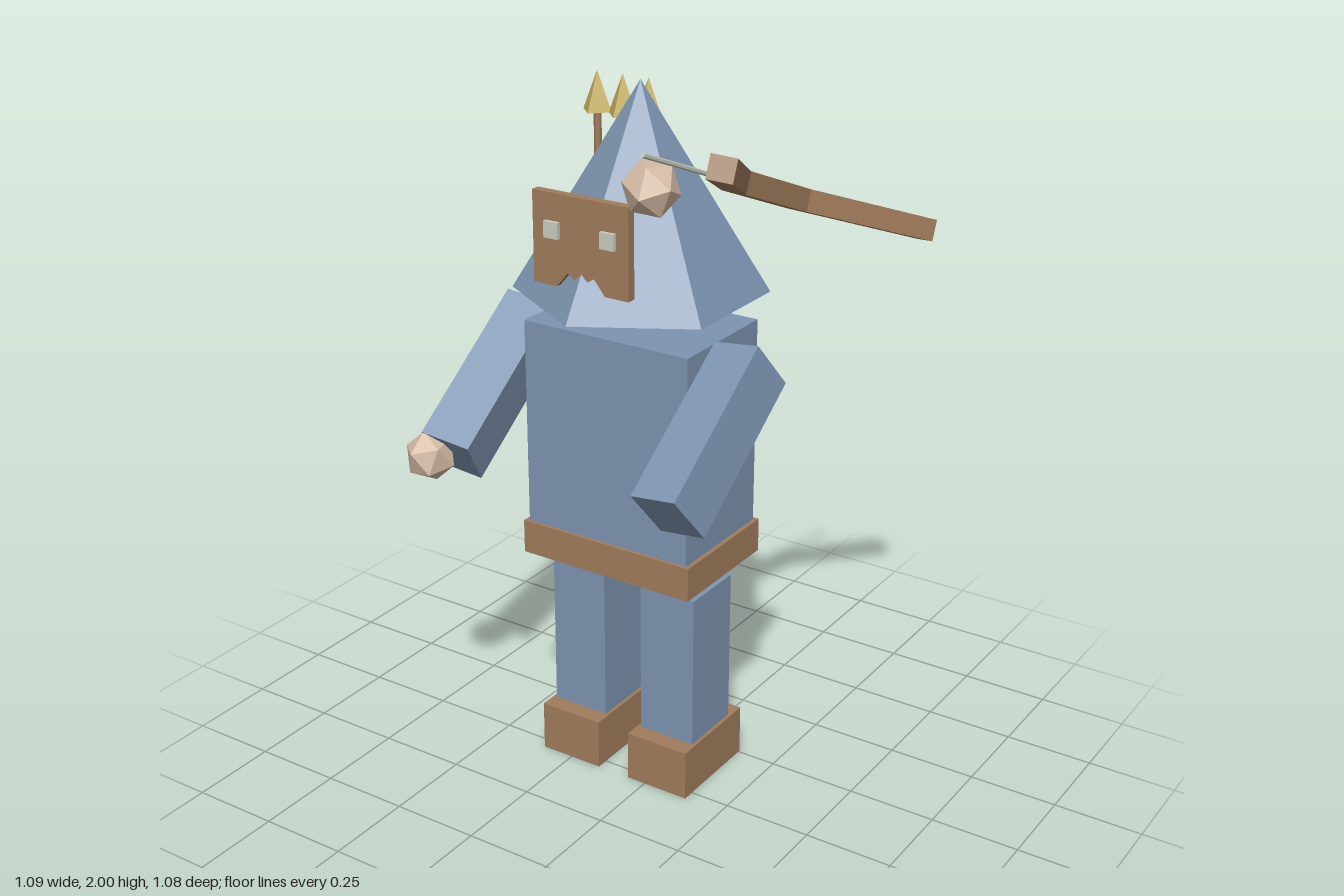
import * as THREE from 'three';

const mat = (name, color) => Object.assign(new THREE.MeshStandardMaterial({ color }), { name });

export function createModel() {
  const cloth = mat('blue cloth', 0x7d94b0);
  const leather = mat('brown leather', 0xa07c5c);
  const skin = mat('skin', 0xd6bca6);
  const gold = mat('gold', 0xc4ae5c);
  const pale = mat('pale grey', 0xc8ccc0);

  const model = new THREE.Group();
  model.name = 'hoodedArcher';
  const cx = -0.105, cz = -0.11; // body axis

  // Adds a faceted mesh
  const add = (name, geometry, material, x, y, z, parent = model) => {
    const g = geometry.index ? geometry.toNonIndexed() : geometry;
    g.computeVertexNormals();
    const mesh = new THREE.Mesh(g, material);
    mesh.name = name;
    mesh.position.set(x, y, z);
    parent.add(mesh);
    return mesh;
  };
  const box = (w, h, d) => new THREE.BoxGeometry(w, h, d);

  // Torso, belt and hood
  add('torso', box(0.505, 0.62, 0.34), cloth, cx, 1.005, cz);
  add('belt', box(0.53, 0.095, 0.36), leather, cx, 0.6875, cz);
  add('hood', new THREE.ConeGeometry(0.335, 0.55, 6), cloth, cx, 1.675, cz);

  // Legs, boots, arms and eyes on both sides
  for (const [side, s] of [['left', 1], ['right', -1]]) {
    add(side + 'Leg', box(0.17, 0.445, 0.19), cloth, cx + s * 0.145, 0.3675, cz);
    add(side + 'Boot', box(0.19, 0.145, 0.29), leather, cx + s * 0.145, 0.0725, cz);
    const arm = add(side + 'Arm', box(0.14, 0.475, 0.155), cloth, cx + s * 0.336, 1.13, 0.087);
    arm.rotation.set(-0.94, -0.2 * s, 0);
    add(side + 'Eye', box(0.043, 0.043, 0.012), pale, cx + s * 0.084, 1.617, 0.16);
  }

  // Hands
  const leftHand = add('leftHand', new THREE.IcosahedronGeometry(0.07), skin, 0.267, 1.858, 0.405);
  leftHand.rotation.set(-0.4, 0.2, 0);
  const rightHand = add('rightHand', new THREE.IcosahedronGeometry(0.07), skin, -0.48, 0.995, 0.318);
  rightHand.rotation.set(-0.9, -0.2, 0);

  // Face mask with a notched lower edge
  const mask = new THREE.Shape([
    [-0.143, 0.12], [-0.143, -0.12], [-0.073, -0.12], [-0.04, -0.08], [0, -0.105],
    [0.04, -0.08], [0.073, -0.12], [0.143, -0.12], [0.143, 0.12],
  ].map(p => new THREE.Vector2(...p)));
  add('faceMask', new THREE.ExtrudeGeometry(mask, { depth: 0.025, bevelEnabled: false }), leather, cx - 0.002, 1.59, 0.13);

  // Quiver leaning against the back
  const quiver = add('quiver', new THREE.CylinderGeometry(0.103, 0.103, 0.537, 6).rotateY(0.25), leather, -0.382, 1.225, -0.38);
  quiver.quaternion.setFromUnitVectors(new THREE.Vector3(0, 1, 0), new THREE.Vector3(0.027, 0.52, 0.128).normalize());

  // Arrows
  for (let i = 0; i < 3; i++) {
    const x = -0.466 + i * 0.084;
    add('arrowShaft', new THREE.CylinderGeometry(0.011, 0.011, 0.34, 6), leather, x, 1.585, -0.438);
    add('arrowHead', new THREE.ConeGeometry(0.047, 0.112, 4), gold, x, 1.807, -0.438);
  }

  // Tilted bow and its string
  const bow = new THREE.Group();
  bow.name = 'bow';
  bow.position.set(0, 1.768, 0.012);
  bow.rotation.x = -0.377;
  model.add(bow);
  const outline = new THREE.Shape([
    [0.31, 0.166], [0.31, -0.166], [0.49, -0.556], [0.543, -0.53],
    [0.369, -0.155], [0.369, 0.155], [0.543, 0.53], [0.49, 0.556],
  ].map(p => new THREE.Vector2(...p)));
  const limbs = new THREE.ExtrudeGeometry(outline, { depth: 0.055, bevelEnabled: false });
  add('bowLimbs', limbs.translate(0, 0, -0.0275).rotateX(Math.PI / 2), leather, 0, 0, 0, bow);
  add('bowString', new THREE.CylinderGeometry(0.006, 0.006, 1.035, 6).rotateX(Math.PI / 2), pale, 0.303, 0, 0, bow);

  return model;
}
